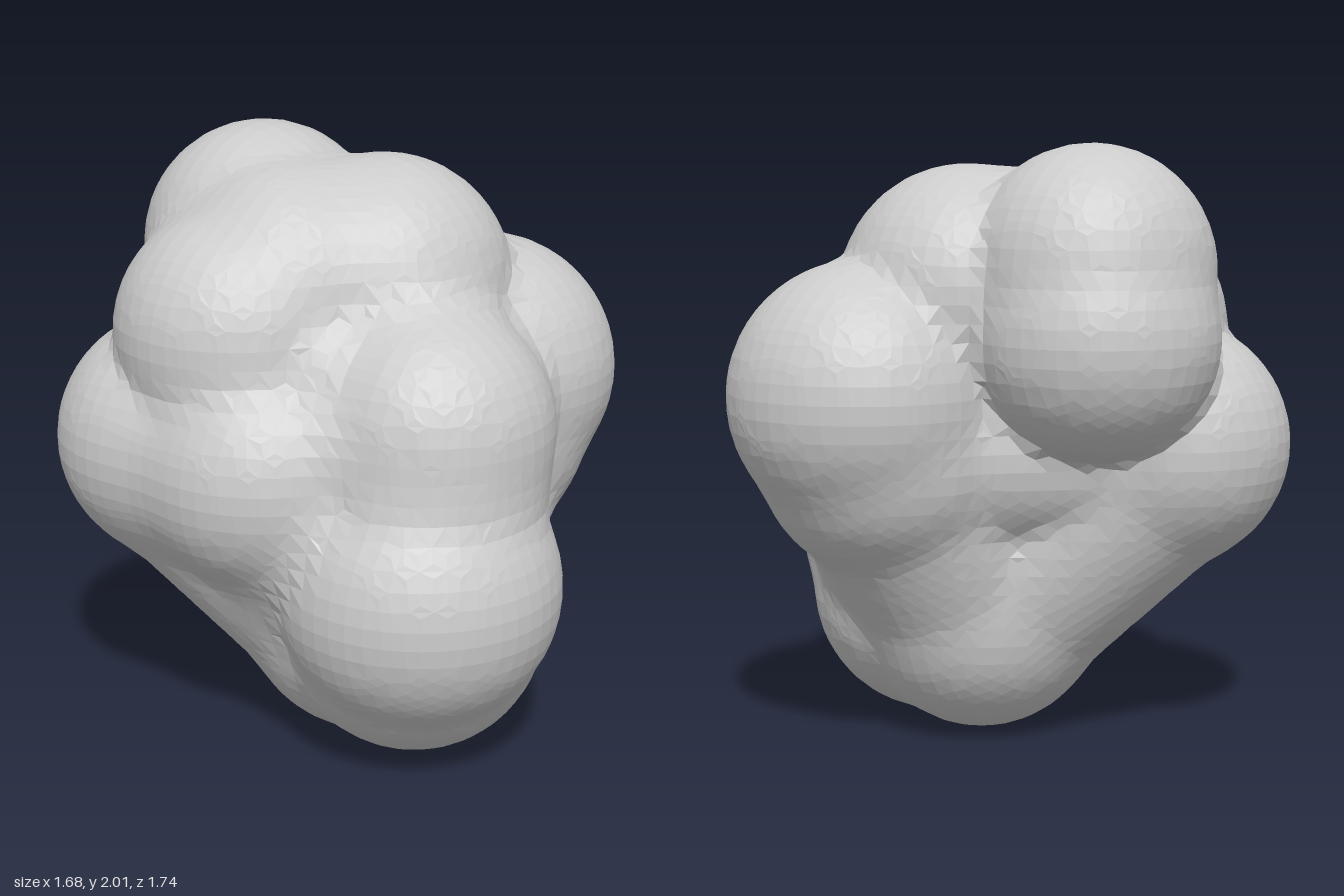
import * as THREE from 'three';

// Lobes: [x, y, z, radius]
const LOBES = {
  baseFront: [-0.14, 0.45, 0.32, 0.43],
  baseBack: [-0.1, 0.42, 0.09, 0.42],
  frontLow: [-0.22, 0.62, 0.4, 0.47],
  frontHigh: [-0.13, 1.13, 0.37, 0.4],
  left: [0.385, 1.18, 0.19, 0.45],
  leftLow: [0.29, 1.0, 0.17, 0.43],
  top: [0.06, 1.51, 0.02, 0.42],
  topMiddle: [-0.17, 1.5, -0.18, 0.42],
  topRight: [-0.355, 1.39, -0.24, 0.41],
  crown: [-0.04, 1.6, -0.42, 0.4],
  back: [0.0, 1.38, -0.47, 0.4],
  rightBack: [-0.42, 1.0, -0.45, 0.42],
  rightFront: [-0.42, 0.98, -0.08, 0.415],
  core: [-0.05, 1.0, 0.0, 0.42],
};

// Necks joining pairs of lobes: [from, to, radius]
const NECKS = [
  ['baseFront', 'baseBack', 0.41], ['baseFront', 'frontLow', 0.43],
  ['frontLow', 'frontHigh', 0.4], ['frontLow', 'rightFront', 0.36],
  ['frontHigh', 'rightFront', 0.36], ['frontHigh', 'topRight', 0.32],
  ['frontHigh', 'top', 0.36], ['frontHigh', 'left', 0.35],
  ['left', 'leftLow', 0.43], ['baseFront', 'leftLow', 0.37],
  ['baseBack', 'leftLow', 0.39], ['leftLow', 'rightBack', 0.36],
  ['baseBack', 'rightBack', 0.4], ['baseBack', 'rightFront', 0.38],
  ['rightBack', 'rightFront', 0.41], ['rightFront', 'topRight', 0.38],
  ['top', 'topMiddle', 0.42], ['topMiddle', 'topRight', 0.41],
  ['topMiddle', 'crown', 0.39], ['topRight', 'crown', 0.37],
  ['crown', 'back', 0.39], ['top', 'left', 0.36],
];

// Every lobe and neck is a capsule; a lobe has equal ends
const capsules = [
  ...Object.values(LOBES).map((l) => [l, l, l[3]]),
  ...NECKS.map(([a, b, r]) => [LOBES[a], LOBES[b], r]),
].map(([a, b, r]) => ({
  a, r, d: [b[0] - a[0], b[1] - a[1], b[2] - a[2]],
}));

function capsuleDistance({ a, d, r }, x, y, z) {
  const px = x - a[0], py = y - a[1], pz = z - a[2];
  const len2 = d[0] * d[0] + d[1] * d[1] + d[2] * d[2];
  const t = len2 ? THREE.MathUtils.clamp((px * d[0] + py * d[1] + pz * d[2]) / len2, 0, 1) : 0;
  return Math.hypot(px - d[0] * t, py - d[1] * t, pz - d[2] * t) - r;
}

// Soft union of all capsules
function field(x, y, z) {
  const k = 0.03;
  let f = 10;
  for (const c of capsules) {
    const g = capsuleDistance(c, x, y, z);
    const h = Math.max(k - Math.abs(f - g), 0) / k;
    f = Math.min(f, g) - h * h * k * 0.25;
  }
  return f;
}

// Move a point near the surface onto it, along the slope of the field
function settle([x, y, z]) {
  const e = 0.01, f = field(x, y, z);
  const g = [field(x + e, y, z) - f, field(x, y + e, z) - f, field(x, y, z + e) - f];
  const s = f / Math.max(Math.hypot(...g), e / 2);
  return [x - g[0] * s, y - g[1] * s, z - g[2] * s];
}

// Skin the field on a coarse grid: one point per crossed cell, one quad per crossed edge
function skin(min, step, n) {
  const stride = [1, n, n * n];
  const at = (i, j, k) => i + j * n + k * n * n;
  const values = new Float32Array(n * n * n);
  for (let k = 0; k < n; k++) for (let j = 0; j < n; j++) for (let i = 0; i < n; i++) {
    values[at(i, j, k)] = field(min[0] + i * step, min[1] + j * step, min[2] + k * step);
  }

  const positions = [], cellPoint = new Map();
  for (let k = 0; k < n - 1; k++) for (let j = 0; j < n - 1; j++) for (let i = 0; i < n - 1; i++) {
    const sum = [0, 0, 0];
    let count = 0;
    for (let corner = 0; corner < 8; corner++) for (let axis = 0; axis < 3; axis++) {
      if (corner & (1 << axis)) continue;
      const o = [corner & 1, (corner >> 1) & 1, corner >> 2];
      const p = at(i + o[0], j + o[1], k + o[2]);
      const v0 = values[p], v1 = values[p + stride[axis]];
      if ((v0 < 0) === (v1 < 0)) continue;
      o[axis] += v0 / (v0 - v1);
      o.forEach((v, q) => { sum[q] += v; });
      count++;
    }
    if (!count) continue;
    cellPoint.set(at(i, j, k), positions.length / 3);
    positions.push(...settle([i, j, k].map((c, q) => min[q] + (c + sum[q] / count) * step)));
  }

  const index = [];
  for (let k = 1; k < n - 1; k++) for (let j = 1; j < n - 1; j++) for (let i = 1; i < n - 1; i++) {
    const p = at(i, j, k);
    for (let axis = 0; axis < 3; axis++) {
      const inside = values[p] < 0;
      if (inside === (values[p + stride[axis]] < 0)) continue;
      const b = stride[(axis + 1) % 3], c = stride[(axis + 2) % 3];
      const q = [p - b - c, p - c, p, p - b].map((cell) => cellPoint.get(cell));
      if (!inside) q.reverse();
      index.push(q[0], q[1], q[2], q[0], q[2], q[3]);
    }
  }

  const geometry = new THREE.BufferGeometry();
  geometry.setAttribute('position', new THREE.Float32BufferAttribute(positions, 3));
  geometry.setIndex(index);
  geometry.computeVertexNormals();
  return geometry;
}

export function createModel() {
  const group = new THREE.Group();
  group.name = 'lobedBoulder';

  const body = new THREE.Mesh(
    skin([-1.05, -0.15, -1.05], 0.06, 39),
    new THREE.MeshStandardMaterial({ color: 0xcccccc, flatShading: true }),
  );
  body.name = 'lobedBody';
  group.add(body);
  return group;
}
